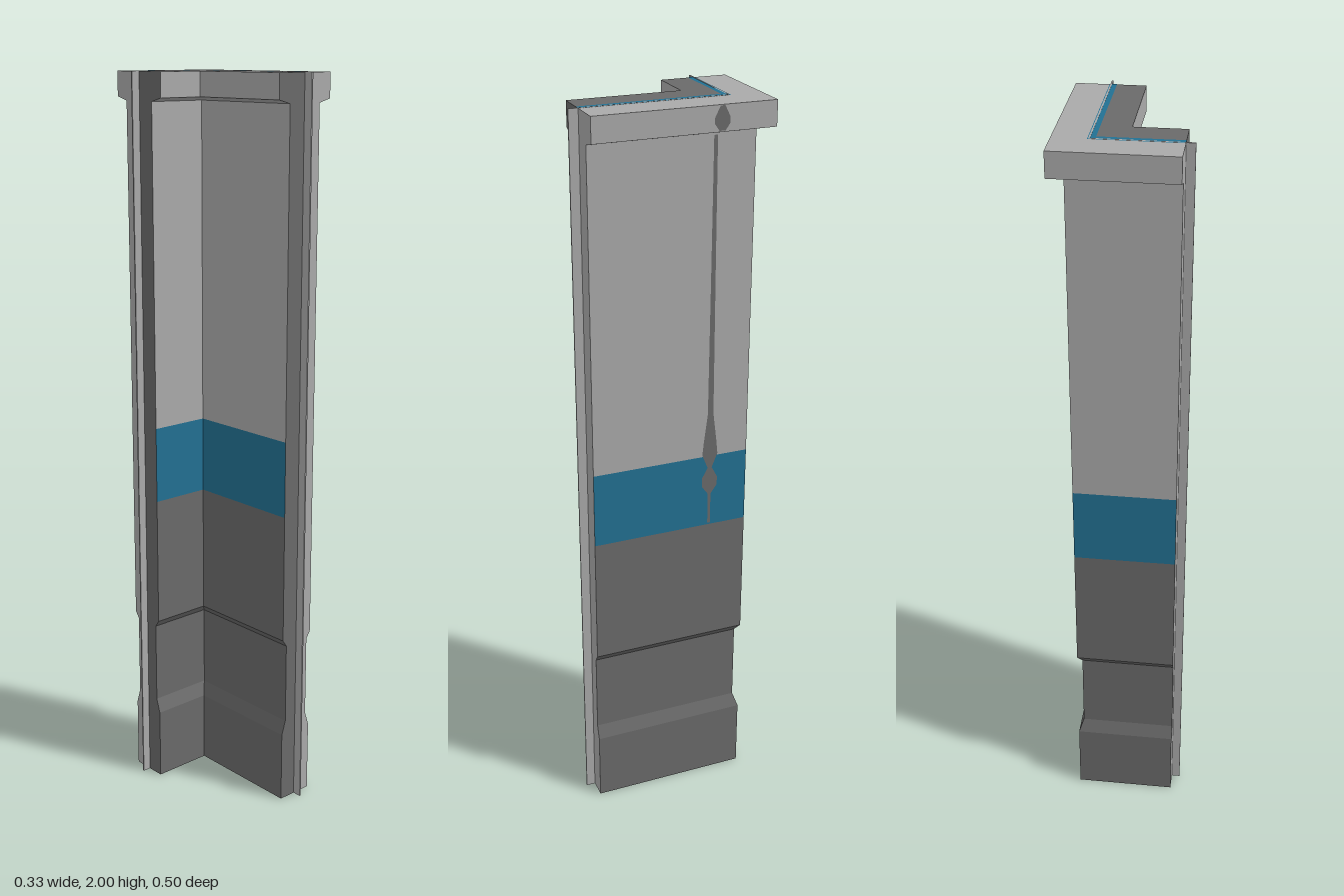
import * as THREE from 'three';

const material = (name, color) => {
  const m = new THREE.MeshStandardMaterial({ color, side: THREE.DoubleSide, flatShading: true });
  m.name = name;
  return m;
};

// Corner of the wall's centre line, and where its two wings end
const CX = 0.0765, CZ = -0.161, FRONT = 0.225, SIDE = -0.145;

// Sweeps a profile of [outward offset, height] points round the mitred corner
function sweep(points, front = FRONT, side = SIDE) {
  const pos = [];
  for (let i = 0; i + 1 < points.length; i++) {
    const rail = ([d, y]) => [[CX + d, y, front], [CX + d, y, CZ - d], [side, y, CZ - d]];
    const low = rail(points[i]), high = rail(points[i + 1]);
    for (let k = 0; k < 2; k++) {
      pos.push(...low[k], ...low[k + 1], ...high[k + 1], ...low[k], ...high[k + 1], ...high[k]);
    }
  }
  const g = new THREE.BufferGeometry();
  g.setAttribute('position', new THREE.Float32BufferAttribute(pos, 3));
  g.computeVertexNormals();
  return g;
}

// Flat end faces that close a profile at both wings
function ends(points, front = FRONT, side = SIDE) {
  const face = s => new THREE.ShapeGeometry(new THREE.Shape(points.map(([d, y]) => new THREE.Vector2(s * d, y))));
  return [
    face(1).translate(CX, 0, front),
    face(-1).rotateY(-Math.PI / 2).translate(side, 0, CZ),
  ];
}

export function createModel() {
  const model = new THREE.Group();
  const light = material('light grey', 0xaaaaaa);
  const dark = material('dark grey', 0x6a6a6a);
  const blue = material('blue', 0x227092);

  const add = (name, geometry, mat, parent = model) => {
    const mesh = new THREE.Mesh(geometry, mat);
    mesh.name = name;
    parent.add(mesh);
  };

  // Wall contour on one side: plinth, recess, band and overhanging cap
  const base = [[0.052, 0], [0.052, 0.2], [0.039, 0.24], [0.039, 0.468], [0.052, 0.487], [0.052, 0.845]];
  const band = [[0.052, 0.845], [0.052, 1.055]];
  const upper = [[0.052, 1.055], [0.052, 1.925], [0.089, 1.935], [0.089, 2]];
  const outline = [[0, 0], ...base, ...upper, [0, 2]];

  for (const [sideName, sign, core] of [['outer', 1, light], ['inner', -1, dark]]) {
    const half = new THREE.Group();
    half.name = sideName + 'Half';
    model.add(half);
    const flip = pts => sign > 0 ? pts : pts.map(([d, y]) => [-d, y]).reverse();
    add(sideName + 'Base', sweep(flip(base)), dark, half);
    add(sideName + 'Band', sweep(flip(band)), blue, half);
    add(sideName + 'UpperWall', sweep(flip(upper)), light, half);
    add(sideName + 'Top', sweep(flip([[0.089, 2], [0, 2]])), core, half);
    add(sideName + 'Underside', sweep(flip([[0, 0], [0.052, 0]])), core, half);
    ends(flip(outline)).forEach((g, i) => add(sideName + (i ? 'SideEnd' : 'FrontEnd'), g, core, half));
  }

  // Blue joint line along the top
  add('topJoint', sweep([[0.004, 2.0006], [-0.0145, 2.0006]]), blue);

  // Thin tongue that projects from both ends
  const tongue = [[0.002, 0], [0.002, 2.001], [-0.002, 2.001], [-0.002, 0], [0.002, 0]];
  add('tongue', sweep(tongue, 0.25, -0.168), light);
  ends(tongue.slice(0, 4), 0.25, -0.168).forEach((g, i) => add(i ? 'tongueSideEnd' : 'tongueFrontEnd', g, light));

  // Narrow dark streak on the outer face, and its mark on the cap
  const streak = (name, rows, x) => {
    const pts = [...rows.map(([w, y]) => new THREE.Vector2(w, y)),
      ...rows.map(([w, y]) => new THREE.Vector2(-w, y)).reverse()];
    add(name, new THREE.ShapeGeometry(new THREE.Shape(pts)).rotateY(Math.PI / 2).translate(x, 0, -0.106), dark);
  };
  streak('wallStreak', [[0.004, 0.85], [0.004, 0.94], [0.022, 0.965], [0.022, 0.99], [0.006, 1.02],
    [0.022, 1.06], [0.018, 1.1], [0.008, 1.18], [0.006, 1.6], [0.005, 1.92]], CX + 0.0526);
  streak('capStreak', [[0.008, 1.938], [0.02, 1.955], [0.02, 1.97], [0.006, 1.998]], CX + 0.0894);

  return model;
}
